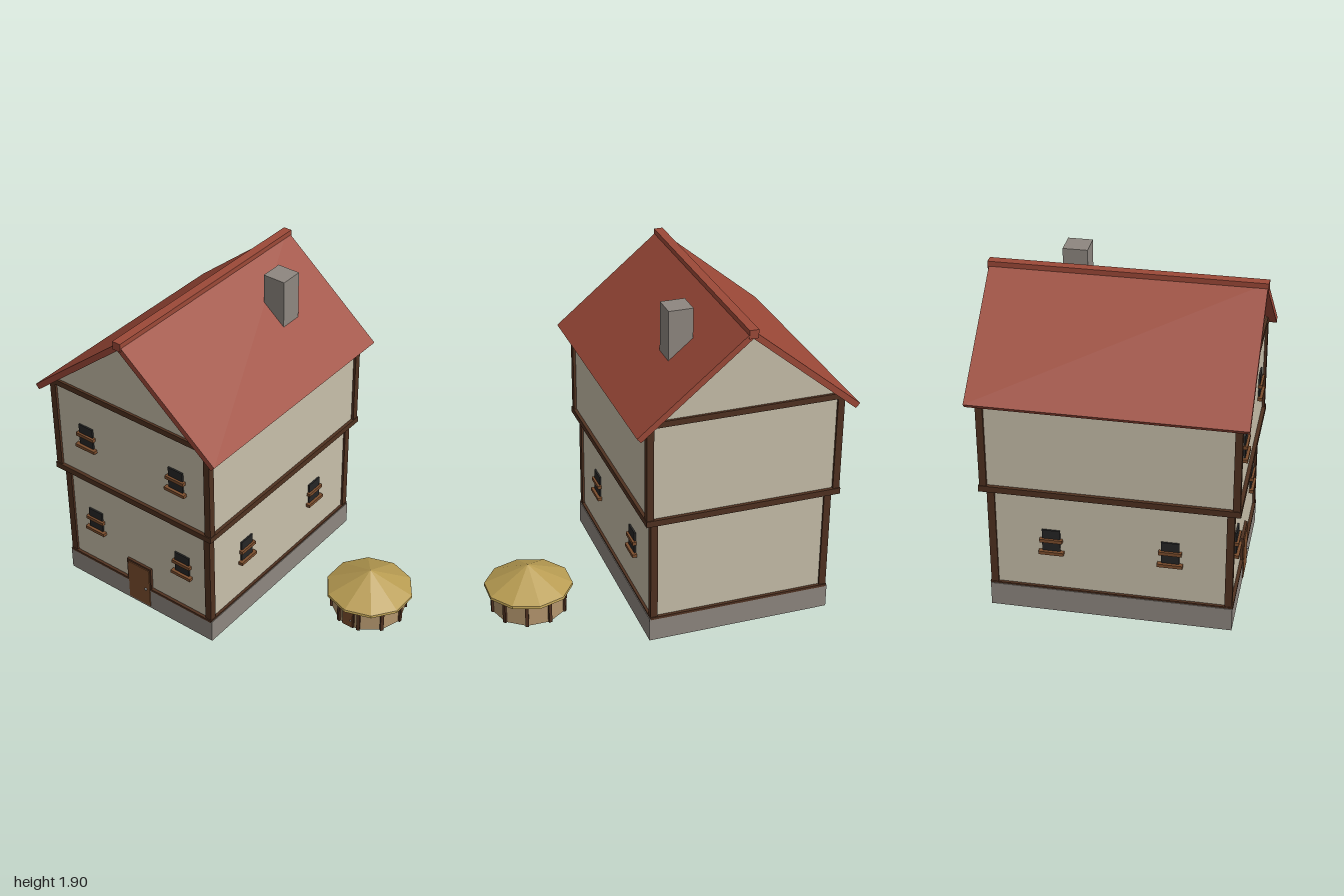
import * as THREE from 'three';

const mat = (name, color) => Object.assign(new THREE.MeshStandardMaterial({ color, flatShading: true }), { name });

export function createModel() {
  const plaster = mat('plaster', 0xc7bfaa), tiles = mat('roofTiles', 0x9c4938), stone = mat('stone', 0x8e8780);
  const timber = mat('timber', 0x4f3120), wood = mat('wood', 0x7b4d2d), glass = mat('glass', 0x262626);
  const thatch = mat('thatch', 0xb89c52), clay = mat('clay', 0xb3956d), metal = mat('metal', 0x9a9a9a);

  const add = (parent, name, geo, m, x = 0, y = 0, z = 0) => {
    const mesh = new THREE.Mesh(geo, m);
    mesh.name = name;
    mesh.position.set(x, y, z);
    parent.add(mesh);
    return mesh;
  };
  // Box given by centre x/z, size, and bottom/top heights
  const box = (parent, name, m, x, z, w, d, y0, y1) =>
    add(parent, name, new THREE.BoxGeometry(w, y1 - y0, d), m, x, (y0 + y1) / 2, z);
  // Front outline pushed along z, centred on z = 0
  const prism = (parent, name, m, pts, depth) => {
    const shape = new THREE.Shape(pts.map(p => new THREE.Vector2(p[0], p[1])));
    const geo = new THREE.ExtrudeGeometry(shape, { depth, bevelEnabled: false });
    return add(parent, name, geo.translate(0, 0, -depth / 2), m);
  };
  const group = (parent, name, x = 0, y = 0, z = 0) => {
    const g = new THREE.Group();
    g.name = name;
    g.position.set(x, y, z);
    parent.add(g);
    return g;
  };

  const model = new THREE.Group();
  model.name = 'farmstead';
  const house = group(model, 'house', -0.355);

  // Foundation and walls
  box(house, 'foundation', stone, 0, 0, 1.096, 1.376, 0, 0.145);
  box(house, 'lowerWalls', plaster, 0, 0, 1.056, 1.344, 0.14, 0.79);
  prism(house, 'upperWalls', plaster,
    [[-0.558, 0.8], [0.558, 0.8], [0.558, 1.395], [0, 1.855], [-0.558, 1.395]], 1.4);

  // Corner posts of both storeys
  for (const sx of [-1, 1]) for (const sz of [-1, 1]) {
    box(house, 'lowerPost', timber, sx * 0.52, sz * 0.664, 0.042, 0.042, 0.14, 0.79);
    box(house, 'upperPost', timber, sx * 0.554, sz * 0.695, 0.04, 0.04, 0.8, 1.39);
  }

  // Horizontal beams
  box(house, 'middleBeam', timber, 0, 0, 1.156, 1.442, 0.78, 0.817);
  for (const s of [-1, 1]) {
    box(house, 'gableBeam', timber, 0, s * 0.695, 1.12, 0.04, 1.385, 1.42);
    box(house, 'eaveBeam', timber, s * 0.548, 0, 0.04, 1.39, 1.365, 1.4);
    box(house, 'sillBeamSide', timber, s * 0.529, 0, 0.03, 1.372, 0.14, 0.155);
    box(house, 'sillBeamEnd', timber, 0, s * 0.671, 1.08, 0.04, 0.14, 0.155);
  }

  // Roof, ridge and chimney
  prism(house, 'roof', tiles,
    [[-0.645, 1.364], [-0.622, 1.337], [0, 1.85], [0.622, 1.337], [0.645, 1.364], [0, 1.895]], 1.514);
  box(house, 'ridge', tiles, 0, 0, 0.053, 1.526, 1.853, 1.903);
  box(house, 'chimney', stone, 0.275, -0.33, 0.142, 0.14, 1.58, 1.903);

  // Windows: pane, crossbar and sill, facing +z before turning
  const addWindow = (x, y, z, turn) => {
    const w = group(house, 'window', x, y, z);
    w.rotation.y = turn;
    box(w, 'pane', glass, 0, 0.003, 0.102, 0.014, 0.01, 0.155);
    box(w, 'crossbar', wood, 0, 0.01, 0.128, 0.026, 0.078, 0.099);
    box(w, 'sill', wood, 0, 0.012, 0.142, 0.03, 0, 0.02);
  };
  for (const s of [-1, 1]) {
    addWindow(s * 0.329, 0.385, 0.672, 0);
    addWindow(s * 0.329, 1.017, 0.7, 0);
    for (const z of [-0.332, 0.335]) addWindow(s * 0.528, 0.385, z, s * Math.PI / 2);
  }

  // Front door
  box(house, 'doorFrame', timber, 0, 0.67, 0.182, 0.036, 0.14, 0.303);
  box(house, 'door', wood, 0, 0.67, 0.16, 0.046, 0.016, 0.29);
  add(house, 'doorKnob', new THREE.SphereGeometry(0.008, 8, 6), metal, 0.053, 0.14, 0.697);

  // Round hut with ten sides
  const hut = group(model, 'hut', 0.749, 0, -0.117);
  const step = Math.PI / 5;
  add(hut, 'hutWall', new THREE.CylinderGeometry(0.22, 0.22, 0.15, 10, 1, false, step / 2), clay, 0, 0.075);
  for (let i = 0; i < 10; i++) {
    const a = (i + 0.5) * step;
    const post = box(hut, 'hutPost', timber, Math.sin(a) * 0.22, Math.cos(a) * 0.22, 0.02, 0.02, 0, 0.15);
    post.rotation.y = a;
  }
  add(hut, 'hutEave', new THREE.CylinderGeometry(0.257, 0.262, 0.016, 10), thatch, 0, 0.147);
  add(hut, 'hutRoof', new THREE.ConeGeometry(0.26, 0.126, 10, 1, true), thatch, 0, 0.217);
  box(hut, 'hutDoorFrame', timber, 0, 0.211, 0.078, 0.018, 0, 0.12);
  box(hut, 'hutDoor', wood, 0, 0.213, 0.066, 0.024, 0.004, 0.113);
  add(hut, 'hutDoorKnob', new THREE.SphereGeometry(0.005, 8, 6), metal, 0.022, 0.055, 0.227);

  return model;
}
